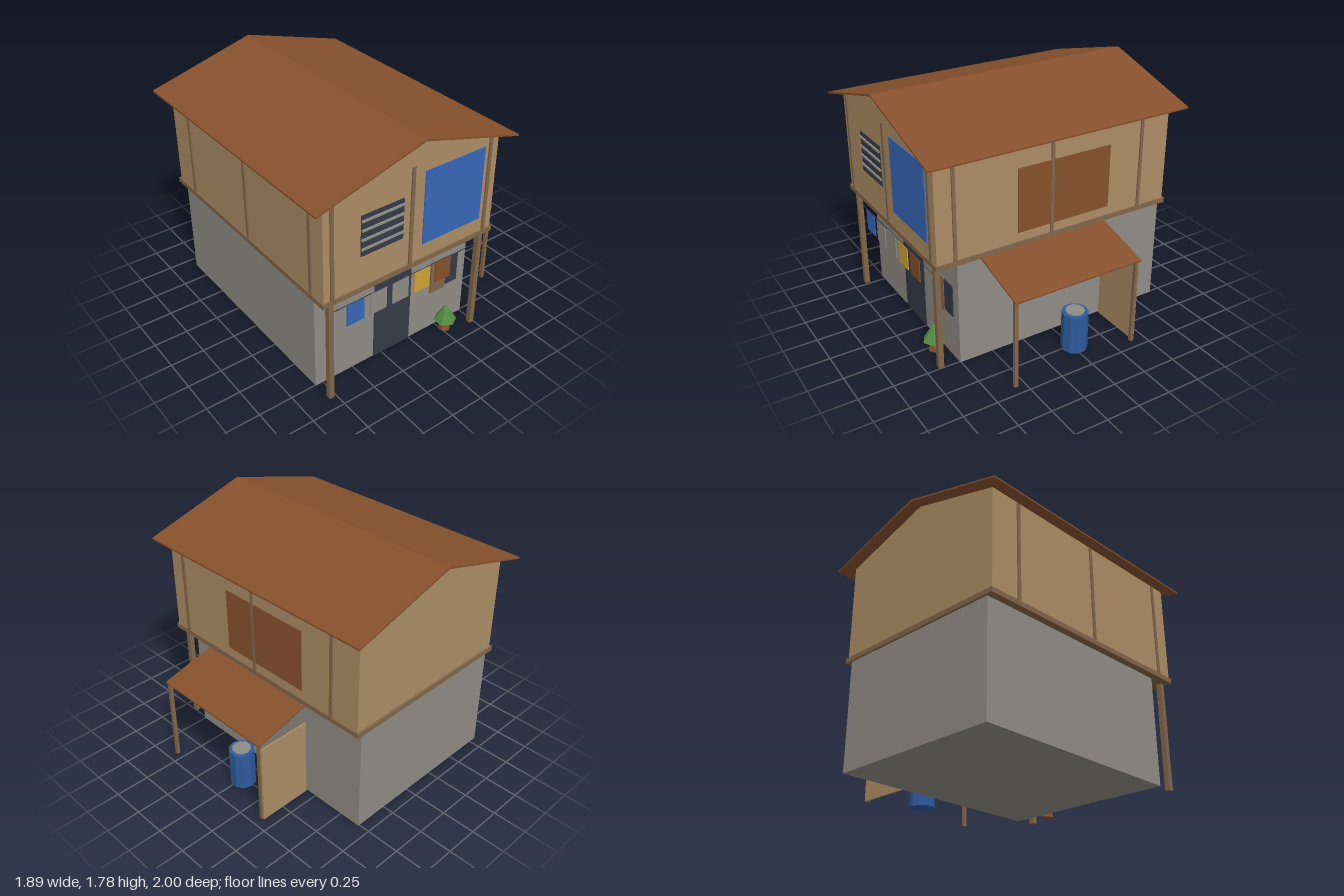
import * as THREE from 'three';

const material = (name, color) => {
  const m = new THREE.MeshStandardMaterial({ color });
  m.name = name;
  return m;
};

export function createModel() {
  const concrete = material('concrete grey', 0x908c86);
  const plywood = material('plywood tan', 0xac8d64);
  const timber = material('timber brown', 0x82664a);
  const rust = material('rusty sheet', 0x87512d);
  const blue = material('tarp blue', 0x3768b8);
  const barrelBlue = material('barrel blue', 0x305a9e);
  const dark = material('dark opening', 0x343b48);
  const yellow = material('cloth yellow', 0xcfa434);
  const green = material('leaf green', 0x558b43);

  const model = new THREE.Group();
  model.name = 'stiltHouse';

  const add = (name, geometry, mat, x = 0, y = 0, z = 0) => {
    const mesh = new THREE.Mesh(geometry, mat);
    mesh.name = name;
    mesh.position.set(x, y, z);
    model.add(mesh);
    return mesh;
  };
  // box given by its two extreme corners
  const box = (name, mat, x0, x1, y0, y1, z0, z1) =>
    add(name, new THREE.BoxGeometry(x1 - x0, y1 - y0, z1 - z0), mat,
      (x0 + x1) / 2, (y0 + y1) / 2, (z0 + z1) / 2);
  // front-view outline extruded from z0 to z1
  const prism = (name, mat, points, z0, z1) => {
    const shape = new THREE.Shape(points.map(([x, y]) => new THREE.Vector2(x, y)));
    const g = new THREE.ExtrudeGeometry(shape, { depth: z1 - z0, bevelEnabled: false });
    return add(name, g, mat, 0, 0, z0);
  };
  // faceted round part standing on y
  const round = (name, mat, rTop, rBottom, height, sides, x, y, z) => {
    const g = new THREE.CylinderGeometry(rTop, rBottom, height, sides).toNonIndexed();
    g.computeVertexNormals();
    return add(name, g, mat, x, y + height / 2, z);
  };

  // Ground floor, deck and upper floor with gables
  box('groundFloor', concrete, -0.81, 0.51, 0, 0.802, -0.915, 0.755);
  box('deck', timber, -0.862, 0.56, 0.802, 0.838, -0.93, 0.93);
  prism('upperFloor', plywood,
    [[-0.85, 0.838], [0.55, 0.838], [0.55, 1.565], [-0.15, 1.766], [-0.85, 1.565]], -0.915, 0.92);

  // Gable roof
  prism('roof', rust, [[-0.95, 1.543], [-0.15, 1.767], [0.65, 1.543],
    [0.65, 1.555], [-0.15, 1.781], [-0.95, 1.555]], -1, 1);

  // Wall studs on the front and both sides
  for (const x of [-0.787, -0.17, 0.48])
    box('frontStud', timber, x - 0.013, x + 0.013, 0.838, 1.567, 0.915, 0.93);
  for (const z of [0.788, 0.053, -0.683]) {
    box('rightStud', timber, -0.86, -0.845, 0.838, 1.555, z - 0.012, z + 0.012);
    box('leftStud', timber, 0.545, 0.56, 0.838, 1.555, z - 0.012, z + 0.012);
  }

  // Slatted upper window
  box('upperWindow', dark, -0.57, -0.236, 1.07, 1.37, 0.917, 0.925);
  for (let i = 0; i < 4; i++) {
    const y = 1.125 + i * 0.0685;
    box('windowSlat', concrete, -0.57, -0.236, y - 0.007, y + 0.007, 0.922, 0.936);
  }

  // Patches on the upper walls
  box('frontTarp', blue, -0.07, 0.434, 0.95, 1.5, 0.918, 0.926);
  box('sideSheet', rust, 0.548, 0.556, 0.905, 1.37, -0.415, 0.32);

  // Ground floor openings
  box('door', dark, -0.32, 0, 0, 0.702, 0.752, 0.76);
  box('lowerWindow', dark, 0.2, 0.434, 0.33, 0.57, 0.754, 0.762);
  box('windowShutter', timber, 0.18, 0.317, 0.32, 0.585, 0.758, 0.768);

  // Front posts carrying the overhang
  for (const x of [-0.787, 0.48])
    box('frontPost', timber, x - 0.019, x + 0.019, 0, 0.802, 0.874, 0.912);

  // Clothesline with hanging cloths
  const line = add('clothesline', new THREE.CylinderGeometry(0.003, 0.003, 1.24, 6), dark, -0.153, 0.711, 0.893);
  line.rotation.z = Math.PI / 2;
  [blue, concrete, concrete, yellow, rust].forEach((mat, i) => {
    const x = -0.583 + i * 0.186;
    box('hangingCloth', mat, x - 0.068, x + 0.068, 0.54, 0.71, 0.889, 0.897);
  });

  // Lean-to shelter
  prism('leanToRoof', rust, [[0.505, 0.769], [0.945, 0.653], [0.945, 0.664], [0.505, 0.781]], -0.42, 0.58);
  for (const z of [0.566, -0.394])
    box('leanToPost', timber, 0.909, 0.934, 0, 0.662, z - 0.013, z + 0.013);
  box('leanToWall', plywood, 0.52, 0.925, 0, 0.617, -0.418, -0.406);

  // Water barrel
  round('barrel', barrelBlue, 0.094, 0.094, 0.295, 10, 0.765, 0, -0.012);
  round('barrelLid', concrete, 0.068, 0.068, 0.01, 10, 0.765, 0.295, -0.012);

  // Small plant
  round('plantPot', rust, 0.028, 0.047, 0.1, 6, 0.28, 0, 0.835);
  round('plantLeaves', green, 0, 0.084, 0.135, 6, 0.28, 0.081, 0.835);

  return model;
}
